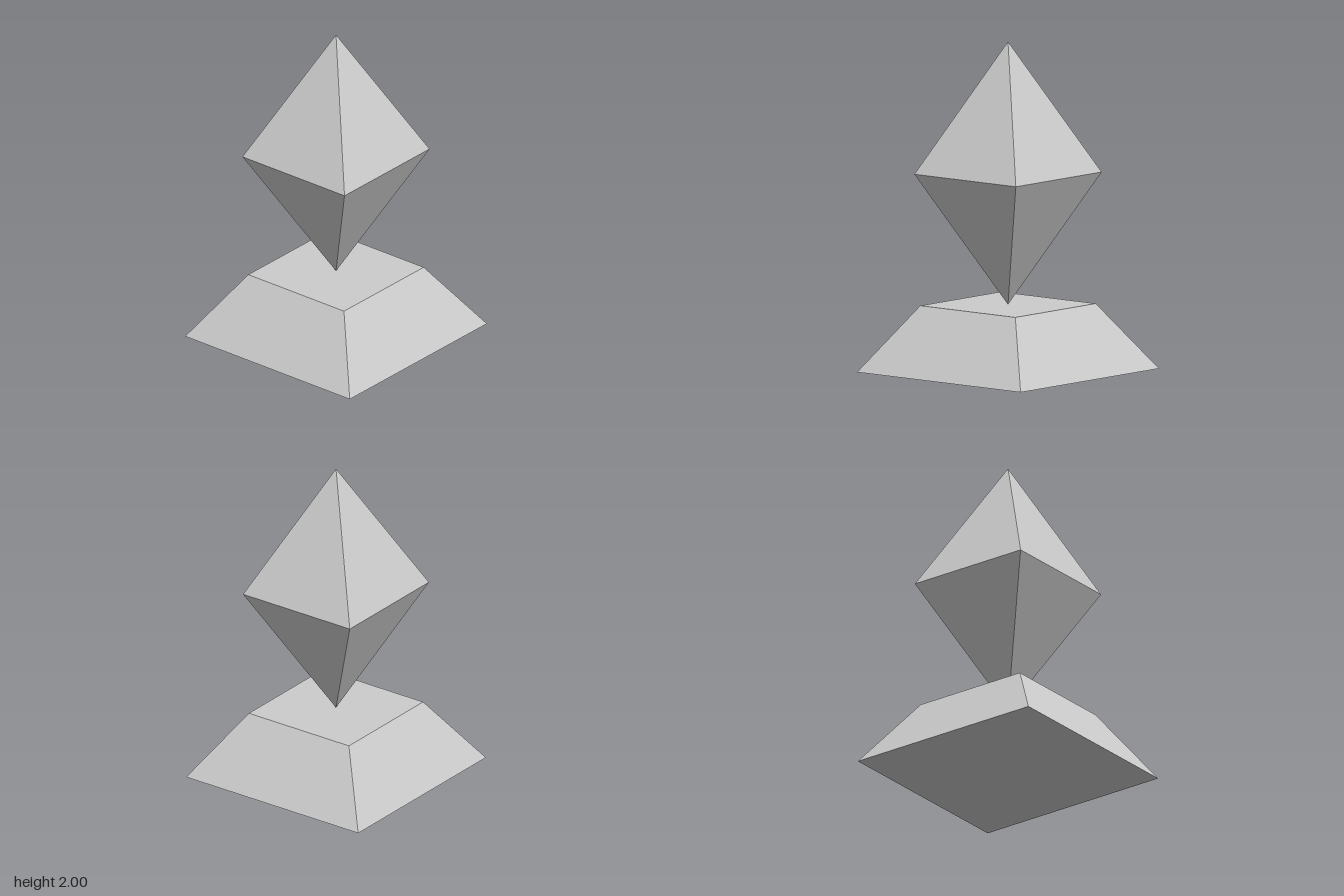
import * as THREE from 'three';

const material = new THREE.MeshStandardMaterial({ color: 0xcccccc, flatShading: true });

// Square-section frustum between heights y0 and y1, given half widths at each end
function squareFrustum(name, halfBottom, halfTop, y0, y1, openEnded) {
  const geometry = new THREE.CylinderGeometry(
    halfTop * Math.SQRT2, halfBottom * Math.SQRT2, y1 - y0, 4, 1, openEnded);
  geometry.rotateY(Math.PI / 4);
  geometry.translate(0, (y0 + y1) / 2, 0);
  const mesh = new THREE.Mesh(geometry, material);
  mesh.name = name;
  return mesh;
}

export function createModel() {
  const model = new THREE.Group();
  model.name = 'crystalOnPedestal';

  // Sloped pedestal
  model.add(squareFrustum('pedestal', 0.645, 0.375, 0, 0.4, false));

  // Crystal: two pyramids sharing an open square waist, balanced on the lower tip
  const crystal = new THREE.Group();
  crystal.name = 'crystal';
  crystal.add(
    squareFrustum('crystalLower', 0, 0.4, 0.4, 1.2, true),
    squareFrustum('crystalUpper', 0.4, 0, 1.2, 2, true));
  model.add(crystal);

  return model;
}
